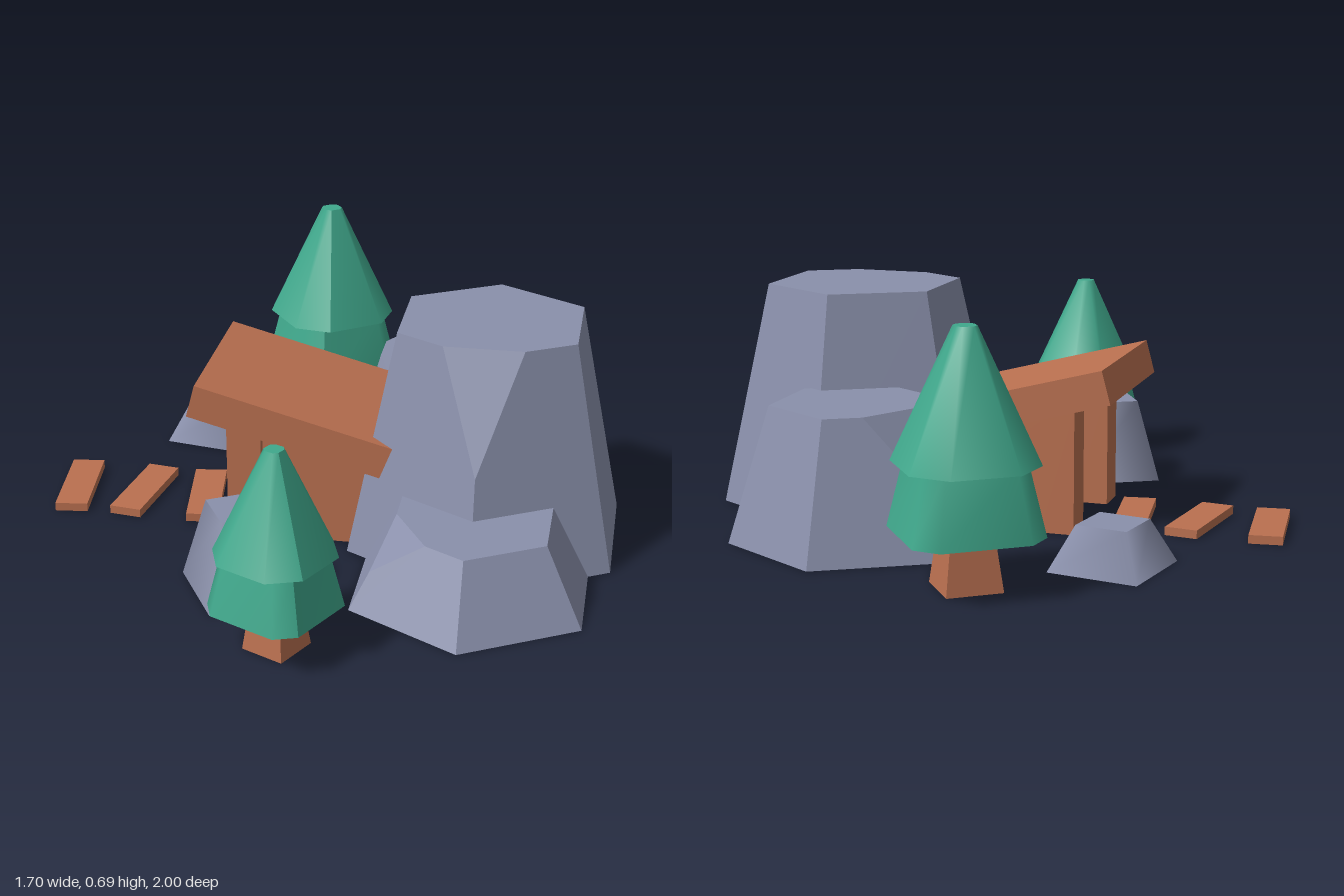
import * as THREE from 'three';
import { ConvexGeometry } from 'three/addons/geometries/ConvexGeometry.js';

const flat = (name, color, side = THREE.FrontSide) => {
  const m = new THREE.MeshStandardMaterial({ color, side });
  m.name = name;
  return m;
};

export function createModel() {
  const model = new THREE.Group();
  const stone = flat('stone', 0x8a90ab, THREE.DoubleSide);
  const wood = flat('wood', 0xba7050, THREE.DoubleSide);
  const leaf = flat('leaf', 0x40a88c);

  const add = (parent, name, geometry, material, x = 0, y = 0, z = 0) => {
    const mesh = new THREE.Mesh(geometry, material);
    mesh.name = name;
    mesh.position.set(x, y, z);
    parent.add(mesh);
    return mesh;
  };

  // Four-sided tapered block standing on y = 0 with an open underside
  const openBlock = (bottom, top, height, faceted) => {
    const s = Math.SQRT1_2;
    let g = new THREE.CylinderGeometry(top * s, bottom * s, height, 4);
    g.setIndex(Array.from(g.index.array).slice(0, g.groups[2].start));
    g.clearGroups();
    g.rotateY(Math.PI / 4).translate(0, height / 2, 0);
    if (faceted) {
      g = g.toNonIndexed();
      g.computeVertexNormals();
    }
    return g;
  };

  // Six-sided boulder with one upper corner chipped away
  const boulder = (name, x, z, rBase, rTop, h, chip, cut) => {
    const corner = (i, r, y) => {
      const a = Math.PI / 6 + i * Math.PI / 3;
      return new THREE.Vector3(Math.cos(a) * r, y, Math.sin(a) * r);
    };
    const points = [];
    for (let i = 0; i < 6; i++) {
      points.push(corner(i, rBase, 0));
      if (i !== chip) {
        points.push(corner(i, rTop, h));
        continue;
      }
      for (const n of [i - 1, i + 1]) points.push(corner(i, rTop, h).lerp(corner(n, rTop, h), cut));
      points.push(corner(i, (rBase + rTop) / 2, h / 2));
    }
    add(model, name, new ConvexGeometry(points), stone, x, 0, z);
  };
  boulder('largeBoulder', 0.47, 0.045, 0.437, 0.29, 0.66, 1, 0.45);
  boulder('backBoulder', 0.315, -0.415, 0.367, 0.245, 0.39, 3, 0.55);
  boulder('frontBoulder', 0.47, 0.418, 0.367, 0.245, 0.215, 2, 0.48);

  // Small square stones
  add(model, 'lowStone', openBlock(0.264, 0.15, 0.125), stone, -0.45, 0, -0.485).rotation.y = -0.18;
  add(model, 'tallStone', openBlock(0.264, 0.15, 0.247), stone, -0.165, 0, 0.52).rotation.y = 0.52;

  // Shelter: sloping roof, entrance posts and body running into the rock
  const shelter = new THREE.Group();
  shelter.name = 'shelter';
  model.add(shelter);
  add(shelter, 'roof', new THREE.BoxGeometry(0.59, 0.1, 0.51), wood, -0.078, 0.362, 0.008).rotation.z = -0.26;
  add(shelter, 'body', new THREE.BoxGeometry(0.42, 0.327, 0.4), wood, 0.045, 0.1635, 0.008);
  for (const s of [-1, 1]) {
    add(shelter, 'post', new THREE.BoxGeometry(0.1, 0.37, 0.1), wood, -0.215, 0.185, 0.008 + s * 0.18);
  }

  // Path planks
  for (const [x, turn] of [[-0.785, 0.11], [-0.58, -0.14], [-0.385, 0.14]]) {
    const plank = add(model, 'plank', openBlock(1, 1, 1, true), wood, x, 0, 0.005);
    plank.scale.set(0.097, 0.025, 0.305);
    plank.rotation.y = turn;
  }

  // Foliage tier: a cone whose section is a square with cut corners
  const tier = (rTop, rBottom, y0, y1, halfCut) => {
    const g = new THREE.CylinderGeometry(rTop, rBottom, y1 - y0, 8);
    const p = g.attributes.position;
    for (let i = 0; i < p.count; i++) {
      const r = Math.hypot(p.getX(i), p.getZ(i));
      if (r < 1e-6) continue;
      const k = (Math.round(Math.atan2(p.getZ(i), p.getX(i)) / (Math.PI / 4)) + 8) % 8;
      const a = Math.floor(k / 2) * Math.PI / 2 + (k % 2 ? halfCut : -halfCut);
      p.setXYZ(i, r * Math.cos(a), p.getY(i), r * Math.sin(a));
    }
    g.computeVertexNormals();
    return g.translate(0, (y0 + y1) / 2, 0);
  };

  // Trees
  const tree = (name, x, z, scale, turn) => {
    const group = new THREE.Group();
    group.name = name;
    group.position.set(x, 0, z);
    group.rotation.y = turn;
    group.scale.setScalar(scale);
    model.add(group);
    const trunk = new THREE.CylinderGeometry(0.064, 0.092, 0.16, 4).toNonIndexed();
    trunk.computeVertexNormals();
    add(group, 'trunk', trunk, wood, 0, 0.08, 0);
    add(group, 'lowerFoliage', tier(0.14, 0.181, 0.125, 0.285, 0.19), leaf);
    add(group, 'upperFoliage', tier(0.027, 0.167, 0.277, 0.576, 0.3), leaf);
  };
  tree('frontTree', -0.003, 0.82, 1, 0.33);
  tree('backTree', -0.137, -0.782, 1.2, -0.15);

  return model;
}
